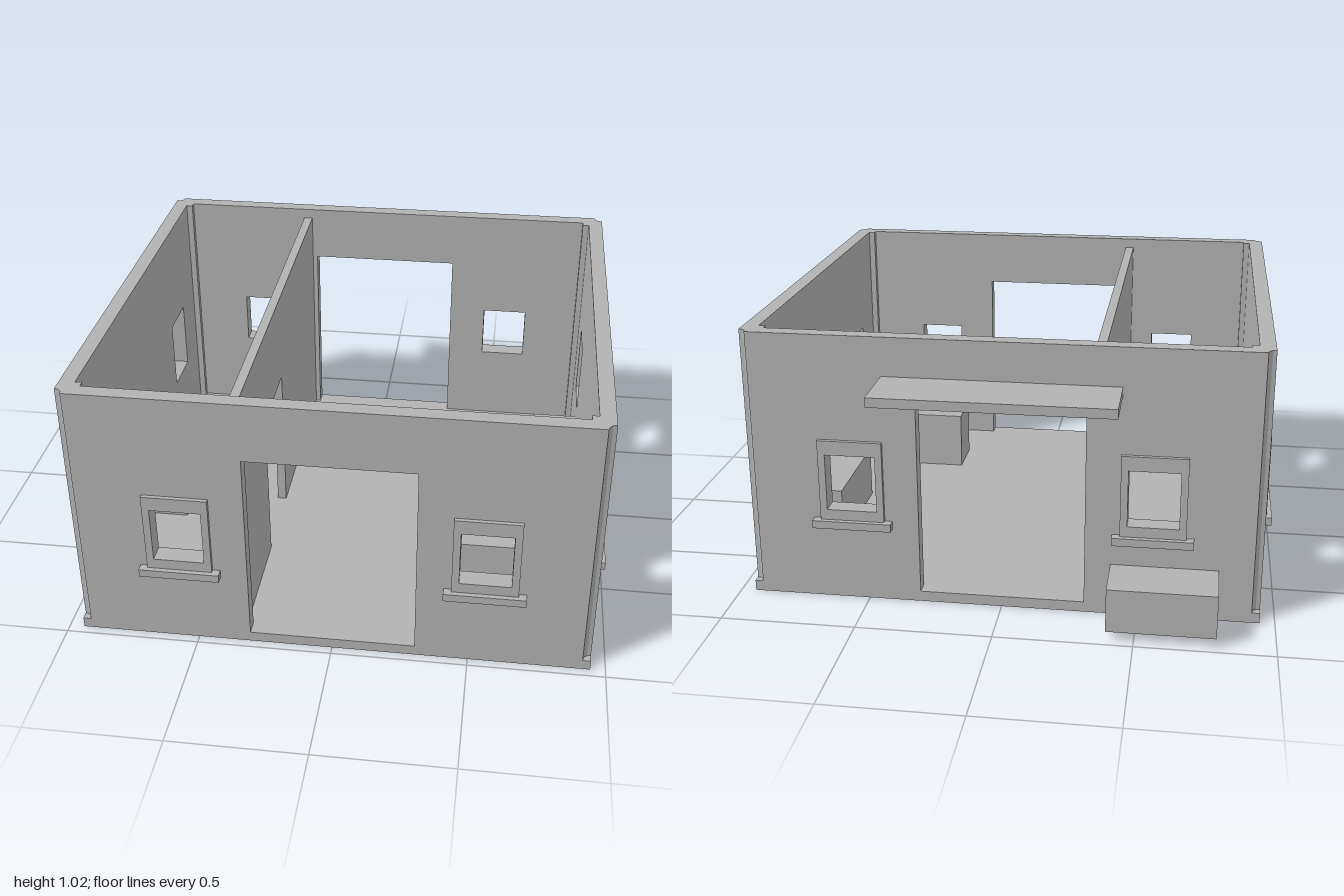
import * as THREE from 'three';

const BASE = 0.04, TOP = 1.025;      // floor surface and wall top
const HX = 0.945, HZ = 0.87, CZ = 0.097; // house half sizes and centre in z
const T = 0.057, POST = T + 0.025;   // wall thickness, corner post size

export function createModel() {
  const grey = new THREE.MeshStandardMaterial({ color: 0xb2b2b2 });
  grey.name = 'plain grey';
  const model = new THREE.Group();
  model.name = 'house';

  const add = (parent, name, geometry) => {
    const mesh = new THREE.Mesh(geometry, grey);
    mesh.name = name;
    parent.add(mesh);
    return mesh;
  };
  // box from its minimum and maximum corners
  const box = (parent, name, x0, x1, y0, y1, z0, z1) => {
    const g = new THREE.BoxGeometry(x1 - x0, y1 - y0, z1 - z0);
    g.translate((x0 + x1) / 2, (y0 + y1) / 2, (z0 + z1) / 2);
    return add(parent, name, g);
  };
  const poly = (pts) => new THREE.Shape(pts.map(([x, y]) => new THREE.Vector2(x, y)));
  const rect = (x0, x1, y0, y1) => poly([[x0, y0], [x1, y0], [x1, y1], [x0, y1]]);
  const extrude = (shape, depth) => new THREE.ExtrudeGeometry(shape, { depth, bevelEnabled: false });

  // wall panel whose outer face is at local z = 0, with an optional doorway down to the floor
  const panel = (half, top, door) => {
    const pts = [[-half, BASE]];
    if (door) pts.push([door[0], BASE], [door[0], door[2]], [door[1], door[2]], [door[1], BASE]);
    return poly([...pts, [half, BASE], [half, top], [-half, top]]);
  };

  const house = new THREE.Group();
  house.name = 'building';
  house.position.z = CZ;
  model.add(house);
  box(house, 'floor', -HX, HX, 0, BASE, -HZ, HZ);

  // four outer walls, each with two framed windows and sills
  const frontWin = { at: 0.55, w: 0.0925, y0: 0.36, y1: 0.575 };
  const sideWin = { at: 0.505, w: 0.099, y0: 0.33, y1: 0.61 };
  const door = [-0.305, 0.305, 0.8];
  [
    ['front', 0, HX, HZ, frontWin, door],
    ['left', Math.PI / 2, HZ, HX, sideWin, null],
    ['back', Math.PI, HX, HZ, frontWin, door],
    ['right', -Math.PI / 2, HZ, HX, sideWin, null],
  ].forEach(([name, angle, half, dist, win, opening]) => {
    const side = new THREE.Group();
    side.name = name + 'Side';
    side.rotation.y = angle;
    house.add(side);
    const wall = panel(half - POST, TOP, opening);
    for (const s of [-1, 1]) {
      const c = s * win.at;
      const hole = () => rect(c - win.w, c + win.w, win.y0, win.y1);
      wall.holes.push(hole());
      const frame = rect(c - 0.119, c + 0.119, 0.32, 0.63);
      frame.holes.push(hole());
      add(side, 'windowFrame', extrude(frame, 0.015)).position.z = dist;
      box(side, 'windowSill', c - 0.147, c + 0.147, 0.29, 0.32, dist, dist + 0.033);
    }
    add(side, name + 'Wall', extrude(wall, T)).position.z = dist - T;
  });

  // corner posts with a grooved outer edge
  for (const sx of [-1, 1]) for (const sz of [-1, 1]) {
    const outline = [[0.03, 0], [POST, 0], [POST, T], [POST, POST], [T, POST], [0, POST],
      [0, 0.03], [0.015, 0.027], [0.027, 0.015]];
    // the shape's y axis becomes -z once laid flat
    const g = extrude(poly(outline.map(([u, v]) => [sx * (HX - u), -sz * (HZ - v)])), TOP - BASE);
    g.rotateX(-Math.PI / 2);
    add(house, 'cornerPost', g).position.y = BASE;
  }

  // inner partition with a doorway, turned to run front to back
  const inner = extrude(panel(HZ - T, 0.985, [-0.35, -0.01], ), 0.035);
  inner.dispose();
  const partition = add(house, 'partition', extrude(panel(HZ - T, 0.985, [-0.35, -0.01, 0.64]), 0.035));
  partition.rotation.y = Math.PI / 2;
  partition.position.x = -0.36;

  // canopy and step box behind the house
  box(model, 'canopy', -0.43, 0.425, 0.845, 0.88, -1, CZ - HZ);
  box(model, 'outsideBox', -0.79, -0.4, 0.035, 0.2, -0.97, CZ - HZ);

  // furniture
  box(model, 'bench', 0.71, 0.888, BASE, 0.25, -0.375, 0.085);
  box(model, 'table', 0.38, 0.715, BASE, 0.28, 0.455, 0.65);
  box(model, 'counter', -0.888, -0.715, BASE, 0.35, -0.125, 0.28);
  const worktop = rect(-0.888, -0.715, -0.28, 0.125);
  worktop.holes.push(rect(-0.865, -0.735, 0.01, 0.108));
  const topGeo = extrude(worktop, 0.03);
  topGeo.rotateX(-Math.PI / 2);
  add(model, 'counterTop', topGeo).position.y = 0.35;

  return model;
}
